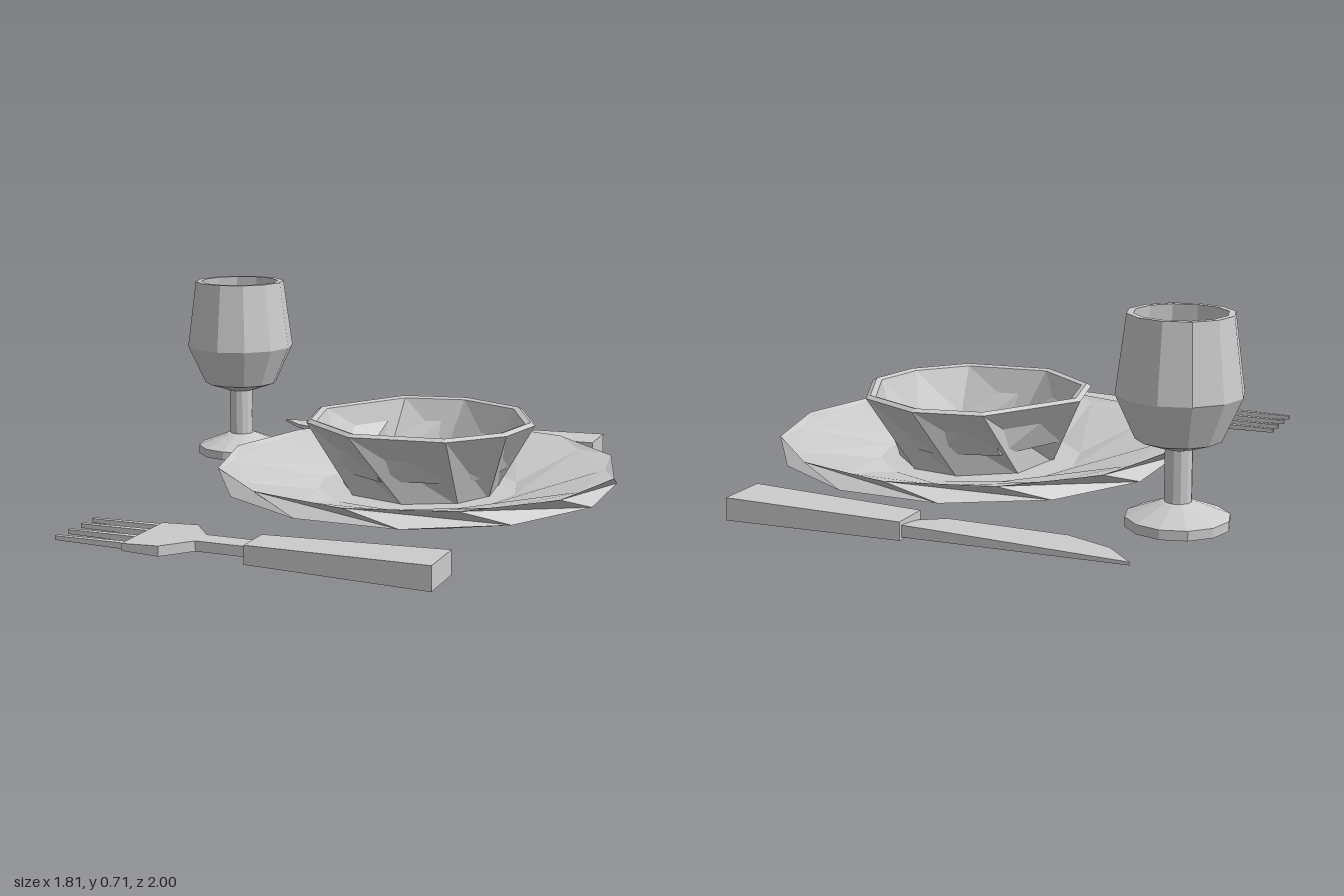
import * as THREE from 'three';

const grey = new THREE.MeshStandardMaterial({ color: 0xcccccc, flatShading: true, side: THREE.DoubleSide });

function add(parent, name, geometry) {
  const mesh = new THREE.Mesh(geometry, grey);
  mesh.name = name;
  parent.add(mesh);
  return mesh;
}

// Flat part cut from an [x, z] outline, with thickness and mid height given as functions of (x, z)
function slab(outline, mid, thick) {
  const shape = new THREE.Shape(outline.map(([x, z]) => new THREE.Vector2(x, -z)));
  const geo = new THREE.ExtrudeGeometry(shape, { depth: 1, bevelEnabled: false });
  geo.rotateX(-Math.PI / 2);
  const p = geo.attributes.position;
  for (let i = 0; i < p.count; i++) {
    p.setY(i, mid + (p.getY(i) - 0.5) * thick(p.getX(i), p.getZ(i)));
  }
  geo.computeVertexNormals();
  return geo;
}

// Revolved profile of [radius, y, shift]; the ring turns by shift (in segments), angles may be uneven
function turned(profile, sides, angleAt = (k) => (k / sides) * Math.PI * 2) {
  const geo = new THREE.LatheGeometry(profile.map(([r, y]) => new THREE.Vector2(r, y)), sides);
  const p = geo.attributes.position;
  for (let i = 0; i < p.count; i++) {
    const [r, y, shift = 0] = profile[i % profile.length];
    const k = Math.floor(i / profile.length);
    const a = angleAt(k) * (1 - shift) + angleAt(k + 1) * shift;
    p.setXYZ(i, r * Math.sin(a), y, r * Math.cos(a));
  }
  geo.computeVertexNormals();
  return geo;
}

export function createModel() {
  const model = new THREE.Group();
  model.name = 'tableSetting';

  // Plate: staggered rings make the faceted rim
  const plate = add(model, 'plate', turned([
    [0, 0.01], [0.44, 0.01], [0.705, 0.08, 0.5], [0.712, 0.14],
    [0.66, 0.127, 0.5], [0.36, 0.05], [0, 0.05],
  ], 12));
  plate.position.set(0.19, 0, -0.065);

  // Bowl: nine uneven sides
  const degrees = [-17, 31, 64, 94, 136, 174, 209, 266, 301];
  const bowlAngle = (k) => THREE.MathUtils.degToRad(degrees[k % 9] + 360 * Math.floor(k / 9));
  const bowl = add(model, 'bowl', turned([
    [0, 0.04], [0.275, 0.04, 0.5], [0.412, 0.296], [0.395, 0.306],
    [0.375, 0.3], [0.31, 0.13, 0.2], [0, 0.125],
  ], 9, bowlAngle));
  bowl.position.set(0.2, 0, -0.07);

  // Goblet: foot, stem and hollow cup in one profile
  const goblet = add(model, 'goblet', turned([
    [0, 0.02], [0.17, 0.02], [0.17, 0.052], [0.055, 0.098], [0.045, 0.1], [0.045, 0.275],
    [0.055, 0.275], [0.14, 0.305], [0.206, 0.45], [0.172, 0.705], [0.15, 0.705],
    [0.175, 0.45], [0.125, 0.335], [0.035, 0.305], [0, 0.305],
  ], 12));
  goblet.position.set(-0.7, 0, -0.465);

  // Fork: tapered handle, neck with head, four tines
  const fork = new THREE.Group();
  fork.name = 'fork';
  model.add(fork);
  add(fork, 'forkHandle', slab(
    [[-0.02, 0.798], [0.6, 0.772], [0.6, 0.955], [-0.02, 0.932]],
    0.04, (x) => 0.062 + 0.029 * x + 0.001));
  add(fork, 'forkHead', slab(
    [[0, 0.825], [-0.2, 0.825], [-0.28, 0.73], [-0.41, 0.73],
      [-0.41, 1], [-0.28, 1], [-0.2, 0.905], [0, 0.905]],
    0.042, (x) => (x < -0.35 ? 0.024 : 0.034)));
  for (const z of [0.748, 0.818, 0.897, 0.976]) {
    add(fork, 'forkTine', slab(
      [[-0.66, z - 0.008], [-0.4, z - 0.012], [-0.4, z + 0.012], [-0.66, z + 0.008]],
      0.042, (x) => (x < -0.5 ? 0.014 : 0.02)));
  }

  // Knife: tapered handle and a blade thinning from spine to edge
  const knife = new THREE.Group();
  knife.name = 'knife';
  model.add(knife);
  add(knife, 'knifeHandle', slab(
    [[0.02, -0.978], [0.64, -1], [0.64, -0.82], [0.02, -0.842]],
    0.053, (x) => 0.06 + 0.025 * x));
  add(knife, 'knifeBlade', slab(
    [[-0.73, -0.965], [0.03, -0.965], [0.03, -0.87], [-0.06, -0.81], [-0.47, -0.81], [-0.63, -0.87]],
    0.05, (x, z) => (x < -0.7 ? 0.01 : z < -0.9 ? 0.04 : 0.015)));

  return model;
}
